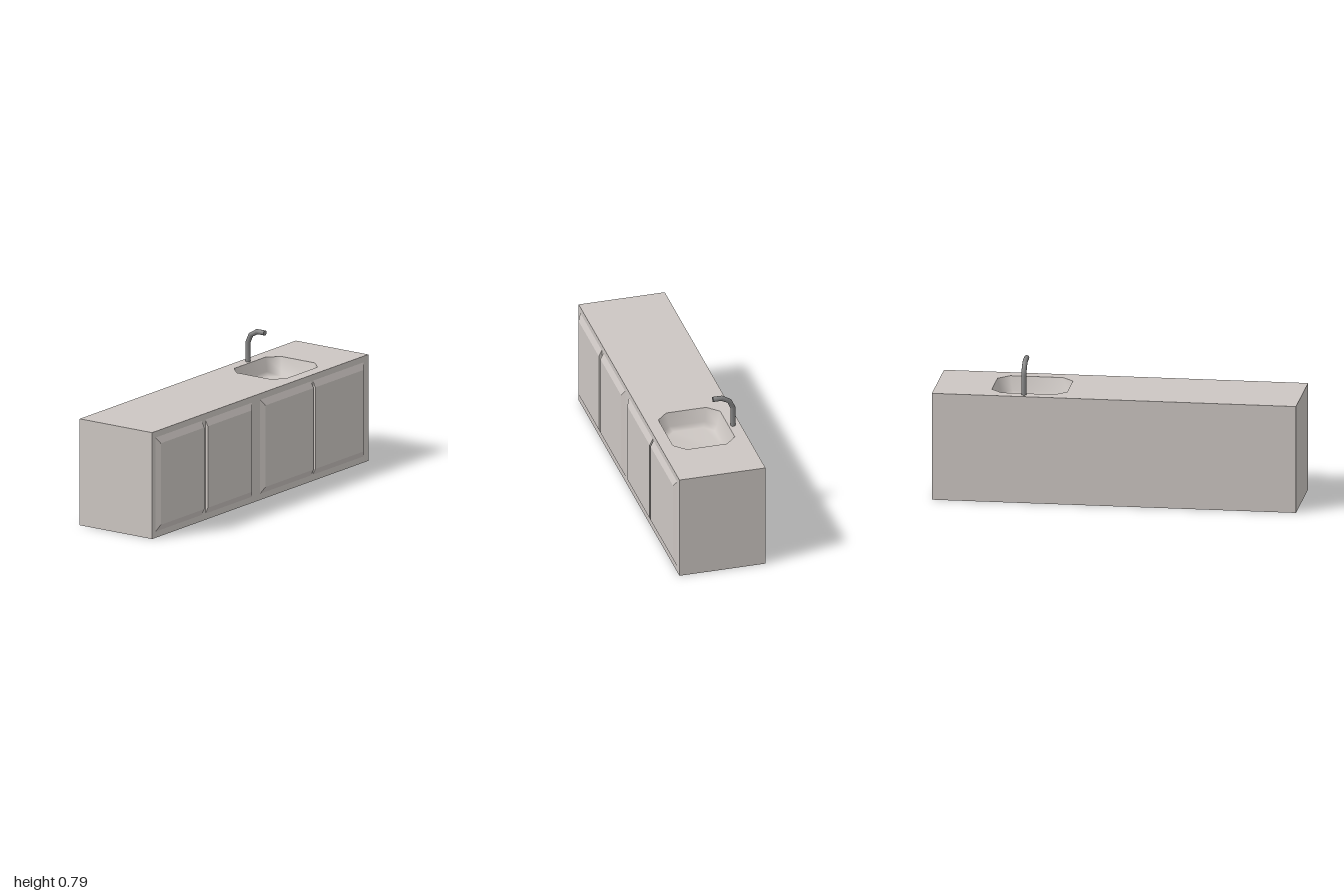
import * as THREE from 'three';
import { mergeGeometries } from 'three/addons/utils/BufferGeometryUtils.js';

const stone = new THREE.MeshStandardMaterial({ color: 0xccc6c2 });
stone.name = 'warm grey cabinet';
const metal = new THREE.MeshStandardMaterial({ color: 0x858585 });
metal.name = 'grey metal';

const X0 = -0.252, X1 = 0.235, H = 0.6;

// Basin outline: rectangle with cut corners, shrunk by d, as [x, z] pairs
function basinOutline(d) {
  const x0 = -0.185 + d, x1 = 0.165 - d, z0 = -0.688 + d, z1 = -0.274 - d;
  const c = 0.062 - d * 0.3;
  return [
    [x0 + c, z0], [x1 - c, z0], [x1, z0 + c], [x1, z1 - c],
    [x1 - c, z1], [x0 + c, z1], [x0, z1 - c], [x0, z0 + c],
  ];
}

// Closed skin through rings of equal size; optional flat end
function loft(rings, capEnd) {
  const n = rings[0].length, pos = rings.flat(2), idx = [];
  for (let r = 0; r < rings.length - 1; r++) {
    for (let i = 0; i < n; i++) {
      const a = r * n + i, b = r * n + (i + 1) % n;
      idx.push(a, b, a + n, b, b + n, a + n);
    }
  }
  if (capEnd) {
    const s = (rings.length - 1) * n;
    for (let i = 1; i < n - 1; i++) idx.push(s, s + i, s + i + 1);
  }
  const g = new THREE.BufferGeometry();
  g.setAttribute('position', new THREE.Float32BufferAttribute(pos, 3));
  g.setIndex(idx);
  g.computeVertexNormals();
  return g;
}

// Cabinet: box whose top face is replaced by a worktop with a basin opening
function cabinetGeometry() {
  const box = new THREE.BoxGeometry(X1 - X0, H, 2).translate((X0 + X1) / 2, H / 2, 0);
  const idx = Array.from(box.index.array);
  idx.splice(12, 6);
  box.setIndex(idx);
  box.clearGroups();
  const shape = new THREE.Shape([[X0, -1], [X1, -1], [X1, 1], [X0, 1]].map(p => new THREE.Vector2(...p)));
  shape.holes.push(new THREE.Path(basinOutline(0).map(([x, z]) => new THREE.Vector2(x, -z))));
  const top = new THREE.ShapeGeometry(shape).rotateX(-Math.PI / 2).translate(0, H, 0);
  return mergeGeometries([box, top]);
}

// Door panel from z0 to z1, bevelled at top, bottom and on its outer side
function doorGeometry(z0, z1, outer) {
  const g = new THREE.BoxGeometry(0.017, 0.53, z1 - z0);
  const p = g.attributes.position;
  for (let i = 0; i < p.count; i++) {
    if (p.getX(i) < 0) continue;
    p.setY(i, p.getY(i) - Math.sign(p.getY(i)) * 0.035);
    if (Math.sign(p.getZ(i)) === outer) p.setZ(i, p.getZ(i) - outer * 0.025);
  }
  g.computeVertexNormals();
  return g.translate(X1 + 0.0085, 0.3, (z0 + z1) / 2);
}

// Tap: mitred rings given by their outer and inner points in the x-y plane
function tapGeometry() {
  const stations = [
    [-0.224, 0.595, -0.196, 0.595], [-0.224, 0.712, -0.196, 0.708],
    [-0.202, 0.762, -0.180, 0.745], [-0.152, 0.792, -0.143, 0.764],
    [-0.096, 0.792, -0.096, 0.764],
  ];
  const sides = 12;
  return loft(stations.map(([ox, oy, ix, iy]) => Array.from({ length: sides }, (_, i) => {
    const a = i / sides * Math.PI * 2, c = Math.cos(a) / 2;
    return [(ox + ix) / 2 + (ox - ix) * c, (oy + iy) / 2 + (oy - iy) * c, -0.5 + 0.014 * Math.sin(a)];
  })), false);
}

export function createModel() {
  const model = new THREE.Group();
  model.name = 'sinkCabinet';
  const add = (name, geometry, material) => {
    const mesh = new THREE.Mesh(geometry, material);
    mesh.name = name;
    model.add(mesh);
    return mesh;
  };

  add('cabinet', cabinetGeometry(), stone);

  // Basin with softly shaded walls and floor
  const basinRings = [[0, H], [0.02, 0.525], [0.04, 0.5]].map(
    ([d, y]) => basinOutline(d).map(([x, z]) => [x, y, z]).reverse());
  // Reversed rings run so that the skin faces the inside of the bowl
  const basin = loft(basinRings, true);
  add('basin', basin, stone);

  // Two pairs of doors
  [[0.508, 0.968, 1], [0.075, 0.508, -1], [-0.471, 0, 1], [-0.957, -0.487, -1]].forEach(([z0, z1, outer], i) => {
    const start = i === 0 ? 0.54 : z0;
    add('door' + (i + 1), doorGeometry(start, z1, outer), stone);
  });

  // Tap and its flat spout end
  add('tap', tapGeometry(), metal);
  const end = add('spoutEnd', new THREE.CircleGeometry(0.014, 12), metal);
  end.rotation.y = Math.PI / 2;
  end.position.set(-0.096, 0.778, -0.5);

  return model;
}
